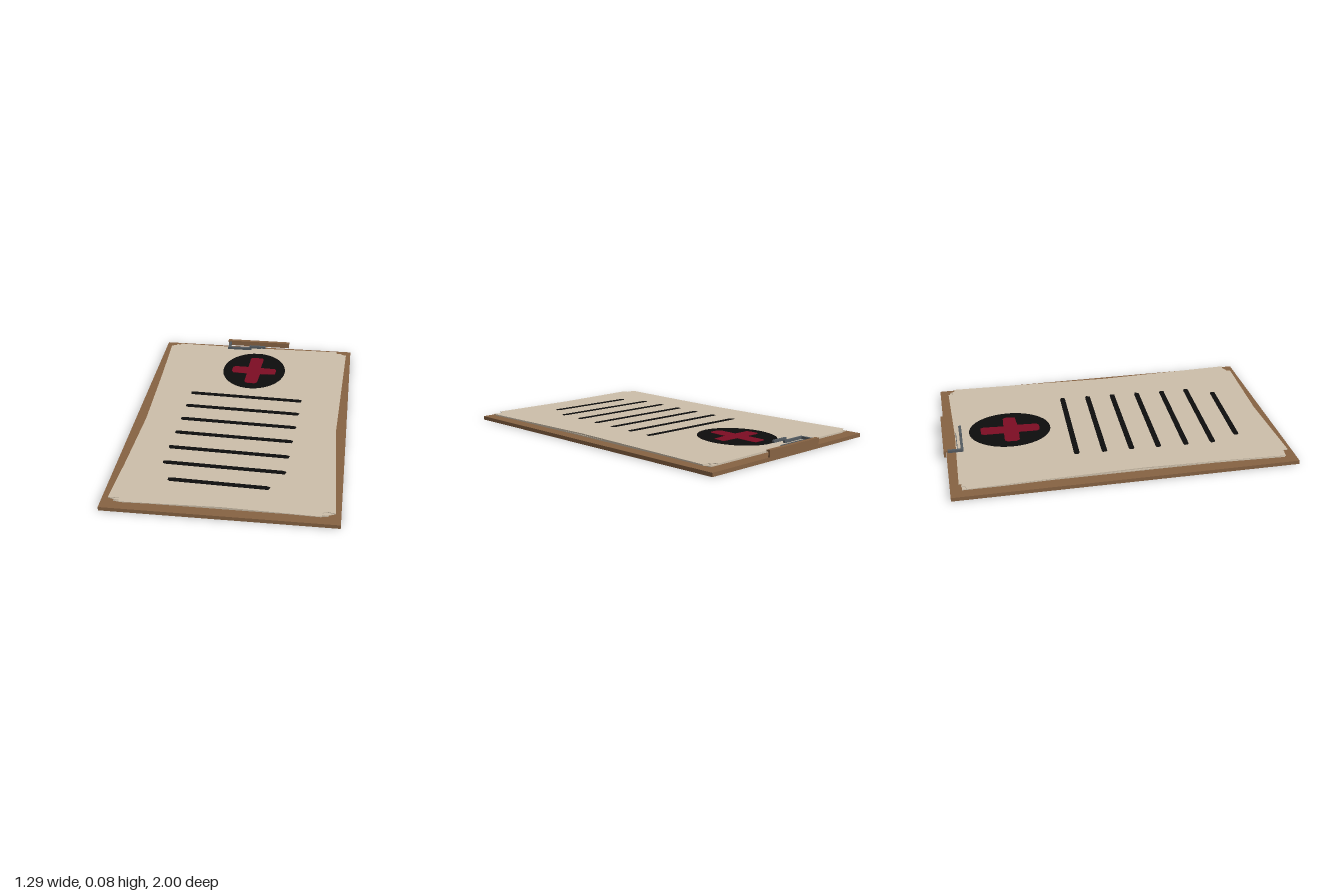
import * as THREE from 'three';

const mat = (name, color) => {
  const m = new THREE.MeshStandardMaterial({ color });
  m.name = name;
  return m;
};

export function createModel() {
  const root = new THREE.Group();
  root.name = 'clipboard';
  const wood = mat('brown wood', 0x876343);
  const paper = mat('aged paper', 0xcdbfaa);
  const ink = mat('black ink', 0x0d0d0d);
  const red = mat('dark red', 0x7d0d23);
  const metal = mat('grey metal', 0x545b61);

  const add = (name, geometry, material) => {
    const mesh = new THREE.Mesh(geometry, material);
    mesh.name = name;
    root.add(mesh);
    return mesh;
  };
  // Box given by its extents on each axis
  const box = (name, material, [x0, x1], [y0, y1], [z0, z1]) => {
    const g = new THREE.BoxGeometry(x1 - x0, y1 - y0, z1 - z0);
    g.translate((x0 + x1) / 2, (y0 + y1) / 2, (z0 + z1) / 2);
    return add(name, g, material);
  };
  // Flat plate from an outline in (x, z), with its upper face at y = top
  const plate = (name, material, points, top, thickness) => {
    const shape = new THREE.Shape(points.map(([x, z]) => new THREE.Vector2(x, z)));
    const g = new THREE.ExtrudeGeometry(shape, { depth: thickness, bevelEnabled: false });
    g.rotateX(Math.PI / 2).translate(0, top, 0);
    return add(name, g, material);
  };

  // Backing board
  box('board', wood, [-0.645, 0.642], [0, 0.022], [-0.985, 1]);

  // Two lower sheets and a worn top sheet with notched corners
  plate('lowerSheet', paper, [[-0.575, -0.91], [0.575, -0.91], [0.575, 0.94], [-0.575, 0.94]], 0.03, 0.006);
  plate('middleSheet', paper, [
    [-0.595, -0.92], [0.575, -0.925], [0.605, -0.89], [0.575, 0.1], [0.605, 0.925],
    [0.56, 0.945], [-0.56, 0.94], [-0.605, 0.925], [-0.57, 0.1], [-0.595, -0.7],
  ], 0.036, 0.004);
  plate('topSheet', paper, [
    [-0.545, -0.935], [0, -0.925], [0.545, -0.935], [0.55, -0.905], [0.575, -0.915], [0.575, -0.895], [0.612, -0.895],
    [0.6, -0.5], [0.582, 0.1], [0.6, 0.6], [0.612, 0.93], [0.57, 0.92], [0.545, 0.93], [0.54, 0.965],
    [0, 0.947], [-0.54, 0.965], [-0.545, 0.93], [-0.605, 0.93],
    [-0.59, 0.6], [-0.575, 0.1], [-0.59, -0.5], [-0.605, -0.895], [-0.575, -0.9], [-0.57, -0.925], [-0.545, -0.915],
  ], 0.0425, 0.004);

  // Round emblem
  const disc = Array.from({ length: 40 }, (_, i) => {
    const a = (i / 40) * Math.PI * 2;
    return [0.01 + 0.205 * Math.cos(a), -0.595 + 0.245 * Math.sin(a)];
  });
  plate('emblemDisc', ink, disc, 0.0445, 0.002);

  // Hand-painted cross
  plate('emblemCross', red, [
    [-0.02, -0.77], [0.05, -0.77], [0.058, -0.75], [0.05, -0.63], [0.145, -0.625], [0.157, -0.61],
    [0.152, -0.55], [0.055, -0.545], [0.047, -0.43], [0.03, -0.415], [-0.025, -0.418], [-0.037, -0.435],
    [-0.033, -0.545], [-0.125, -0.55], [-0.137, -0.57], [-0.135, -0.625], [-0.12, -0.638],
    [-0.033, -0.635], [-0.03, -0.755],
  ], 0.0465, 0.002);

  // Slightly slanted ink strokes: left x, right x, left z
  [
    [-0.355, 0.355, -0.245], [-0.36, 0.35, -0.083], [-0.362, 0.345, 0.077], [-0.368, 0.337, 0.237],
    [-0.375, 0.33, 0.402], [-0.378, 0.325, 0.563], [-0.318, 0.25, 0.727],
  ].forEach(([x0, x1, z], i) => {
    const z1 = z + (x1 - x0) * 0.033;
    const h = 0.016;
    plate(`writtenLine${i + 1}`, ink, [
      [x0, z - h * 0.8], [x0 + 0.02, z - h], [x1 - 0.02, z1 - h], [x1, z1 - h * 0.5],
      [x1 - 0.008, z1 + h], [x0 + 0.01, z + h], [x0, z + h * 0.4],
    ], 0.0445, 0.002);
  });

  // Clip: wooden back bar and bent metal arm
  box('clipBar', wood, [-0.215, 0.212], [0.026, 0.066], [-1, -0.988]);
  box('clipBarLip', wood, [-0.215, 0.212], [0.056, 0.066], [-0.99, -0.976]);
  box('clipSideArm', metal, [-0.205, -0.19], [0.046, 0.061], [-0.978, -0.885]);
  box('clipFrontArm', metal, [-0.205, -0.045], [0.046, 0.061], [-0.9, -0.885]);
  box('clipStep', metal, [-0.055, -0.042], [0.048, 0.077], [-0.9, -0.884]);
  box('clipTip', metal, [-0.055, 0.055], [0.063, 0.077], [-0.9, -0.884]);
  box('clipRod', metal, [-0.19, 0.02], [0.044, 0.049], [-0.921, -0.917]);

  return root;
}
